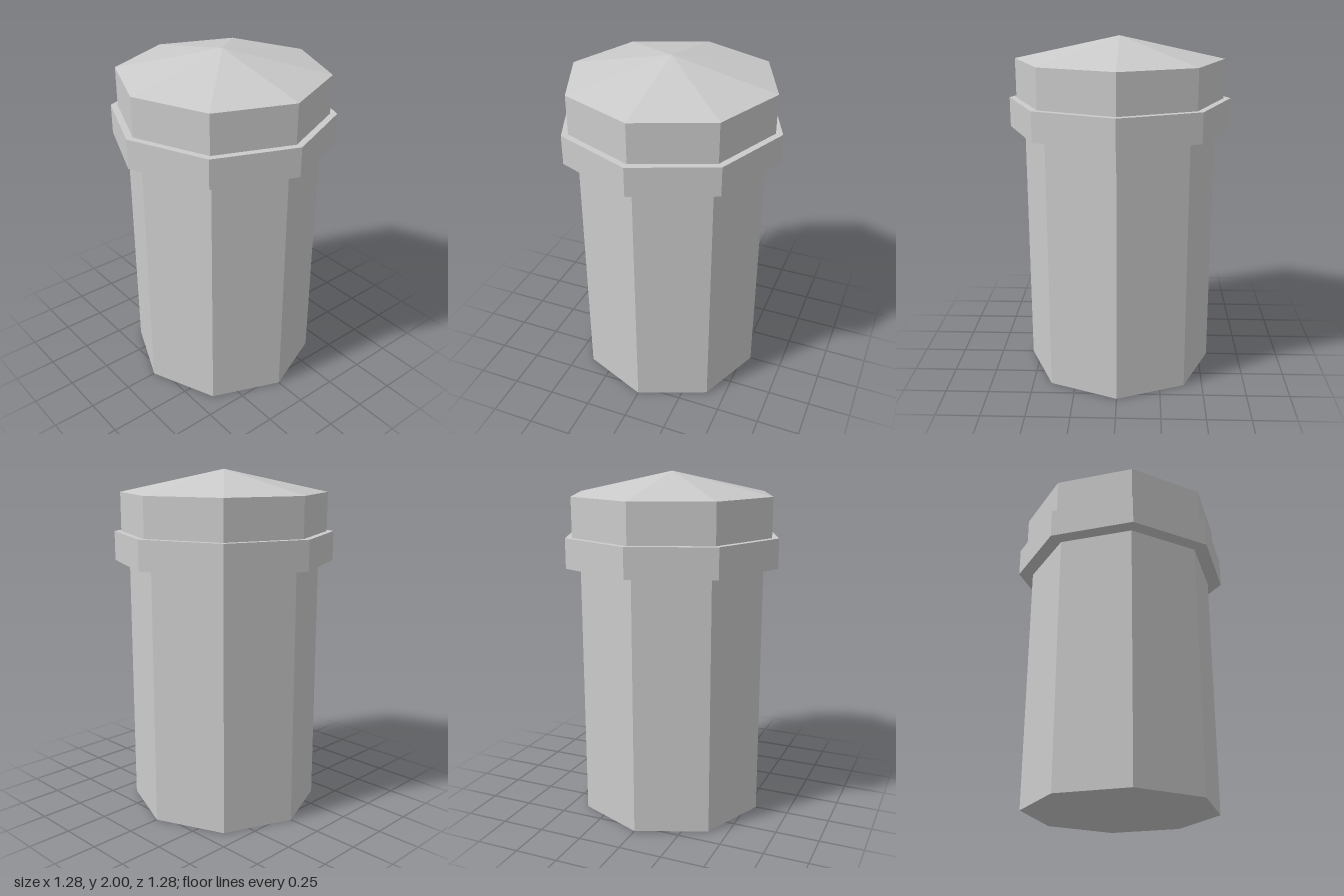
import * as THREE from 'three';

const SIDES = 8;

export function createModel() {
  const group = new THREE.Group();
  group.name = 'octagonalPost';
  const material = new THREE.MeshStandardMaterial({ color: 0xcccccc, flatShading: true });

  // Adds an eight-sided prism (or cone when the top radius is 0) between two heights.
  function addSection(name, topRadius, bottomRadius, y0, y1, open = false) {
    const geometry = new THREE.CylinderGeometry(topRadius, bottomRadius, y1 - y0, SIDES, 1, open);
    const mesh = new THREE.Mesh(geometry, material);
    mesh.name = name;
    mesh.position.y = (y0 + y1) / 2;
    group.add(mesh);
  }

  addSection('shaft', 0.555, 0.555, 0, 1.475);
  addSection('collar', 0.64, 0.64, 1.475, 1.645);
  // Head walls are open: the roof closes the top and the collar the bottom.
  addSection('head', 0.6, 0.6, 1.645, 1.87, true);
  addSection('roof', 0, 0.6, 1.87, 2, true);

  return group;
}
